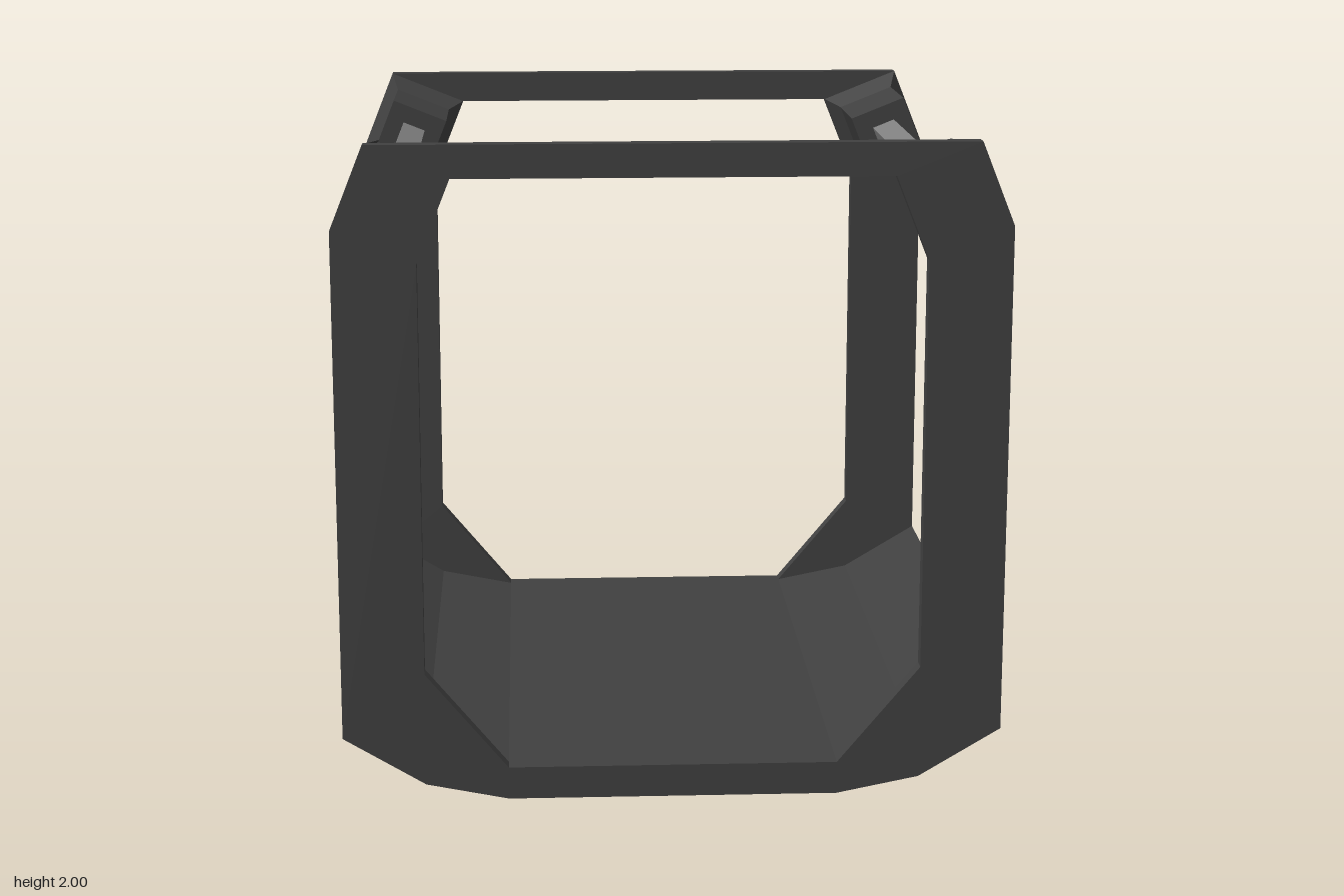
import * as THREE from 'three';

// Mirrors a right-hand profile (bottom to top) into a closed loop
function mirrored(points) {
  const right = points.map(([x, y]) => new THREE.Vector2(x, y));
  const left = points.map(([x, y]) => new THREE.Vector2(-x, y)).reverse();
  return [...right, ...left];
}

function extrudeZ(shape, z0, z1) {
  const g = new THREE.ExtrudeGeometry(shape, { depth: z1 - z0, bevelEnabled: false });
  return g.translate(0, 0, z0);
}

// Square bar or taper along z, turned to line up with the sloped frame corner
const CORNER_R = Math.hypot(0.175, 0.075);
const CORNER_TURN = Math.atan2(-0.075, 0.175);
function squareLoft(scale0, scale1, z0, z1) {
  return new THREE.CylinderGeometry(CORNER_R * scale1, CORNER_R * scale0, z1 - z0, 4)
    .rotateX(Math.PI / 2)
    .rotateZ(CORNER_TURN)
    .translate(0.825, 1.825, (z0 + z1) / 2);
}

export function createModel() {
  const model = new THREE.Group();
  model.name = 'openFrame';
  const darkGrey = new THREE.MeshStandardMaterial({ color: 0x404040, flatShading: true });
  darkGrey.name = 'dark grey';
  const steel = new THREE.MeshStandardMaterial({ color: 0x808080, flatShading: true });
  steel.name = 'steel grey';

  const add = (parent, name, geometry, material) => {
    const mesh = new THREE.Mesh(geometry, material);
    mesh.name = name;
    parent.add(mesh);
    return mesh;
  };

  // End frames: chamfered plates with a large opening
  const frame = new THREE.Shape(mirrored([[0.5, 0], [0.75, 0.05], [1, 0.2], [1, 1.75], [0.9, 2]]));
  frame.holes.push(new THREE.Path(mirrored([[0.5, 0.1], [0.75, 0.4], [0.75, 1.65], [0.65, 1.9]])));
  add(model, 'frontFrame', extrudeZ(frame, 0.95, 1), darkGrey);
  add(model, 'backFrame', extrudeZ(frame, -1, -0.95), darkGrey);

  // Floor: a shallow tray following the lower outline
  const tray = new THREE.Shape([
    [-0.5, 0], [0.5, 0], [0.75, 0.05], [1, 0.2], [1, 0.3], [0.75, 0.15], [0.5, 0.1],
    [-0.5, 0.1], [-0.75, 0.15], [-1, 0.3], [-1, 0.2], [-0.75, 0.05],
  ].map(([x, y]) => new THREE.Vector2(x, y)));
  add(model, 'floor', extrudeZ(tray, -0.95, 0.95), darkGrey);

  // Upper rails: a steel bar held by a flared socket at each end
  for (const side of ['left', 'right']) {
    const rail = new THREE.Group();
    rail.name = side + 'Rail';
    rail.rotation.y = side === 'left' ? 0 : Math.PI;
    const socket = 0.125 / 0.175, bar = 0.05 / 0.175;
    add(rail, 'bar', squareLoft(bar, bar, -0.56, 0.56), steel);
    add(rail, 'socketA', squareLoft(socket, socket, 0.543, 0.88), darkGrey);
    add(rail, 'flareA', squareLoft(socket, 1, 0.88, 0.95), darkGrey);
    add(rail, 'socketB', squareLoft(socket, socket, -0.88, -0.543), darkGrey);
    add(rail, 'flareB', squareLoft(1, socket, -0.95, -0.88), darkGrey);
    model.add(rail);
  }
  return model;
}
